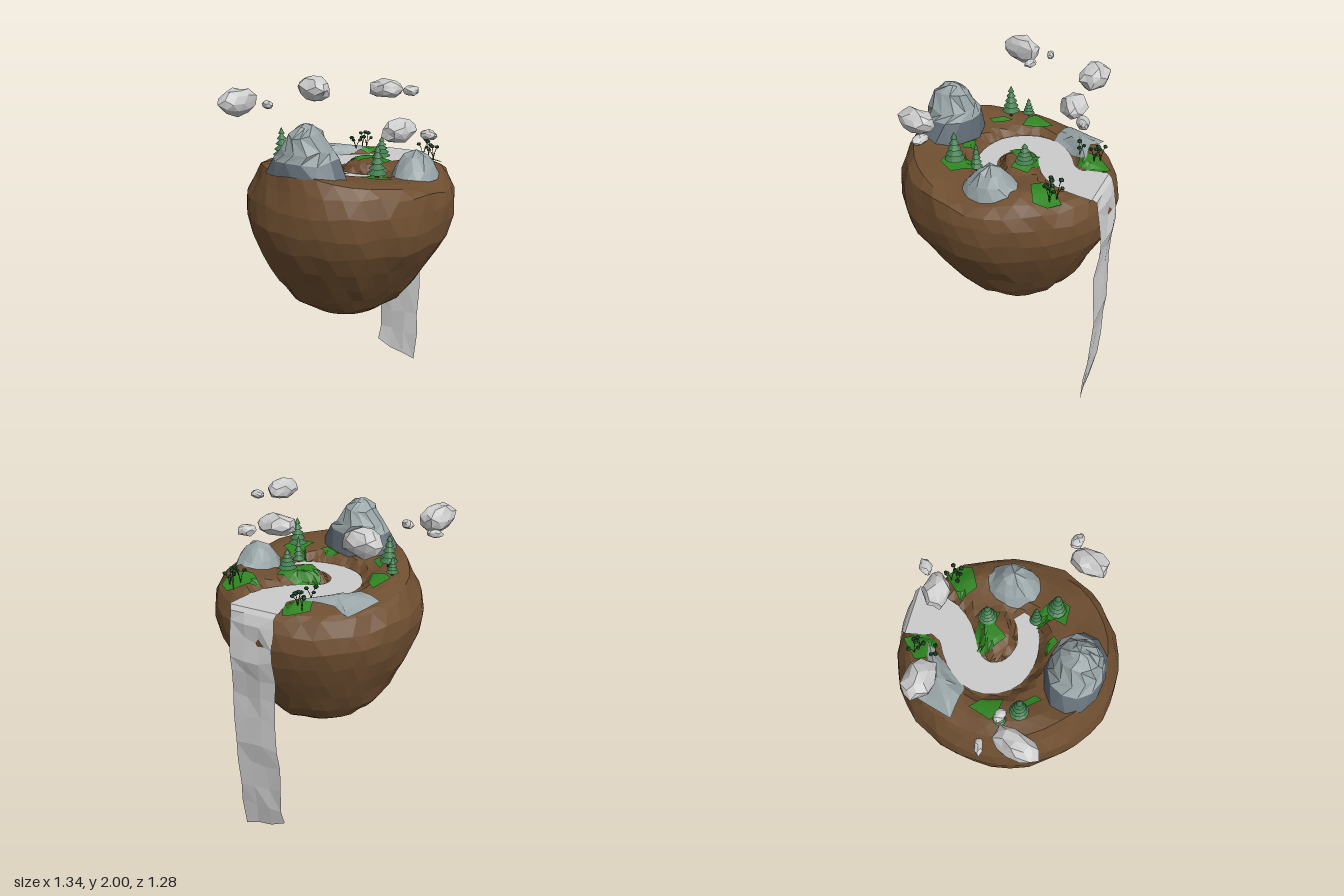
import * as THREE from 'three';

const mat = (color, side = THREE.FrontSide) =>
  new THREE.MeshStandardMaterial({ color, flatShading: true, side });
const SOIL = mat(0x6e4e30), GRASS = mat(0x2f8522, THREE.DoubleSide), WATER = mat(0xcccccc, THREE.DoubleSide);
const STONE = mat(0x97a3a5, THREE.DoubleSide), DARK = mat(0x626d76, THREE.DoubleSide), BOULDER = mat(0xcccccc);
const PINE = mat(0x3f7a4c), LEAF = mat(0x1f4f2a), BARK = mat(0x4e3520);

const CX = 0.06, CZ = 0.015;
const step = THREE.MathUtils.smoothstep;
// repeatable noise in -1..1
const noise = (a, b = 0, c = 0) => {
  const s = Math.sin(a * 12.99 + b * 78.23 + c * 37.72) * 43758.5;
  return (s - Math.floor(s)) * 2 - 1;
};

// river course: x, half width, z
const COURSE = new THREE.CatmullRomCurve3([[0.26, 0.025, 0.03], [0.21, 0.045, 0.085], [0.1, 0.05, 0.122],
  [0, 0.06, 0.112], [-0.095, 0.075, 0.06], [-0.145, 0.083, -0.04], [-0.125, 0.085, -0.14], [-0.04, 0.085, -0.225],
  [0.07, 0.09, -0.285], [0.14, 0.105, -0.38], [0.15, 0.125, -0.48], [0.15, 0.14, -0.56],
].map(p => new THREE.Vector3(...p)));
const BED = COURSE.getPoints(50);

// height of the island's upper ground, with the river bed cut in
function ground(x, z) {
  const r = Math.hypot(x - CX, z - CZ);
  const islet = 0.035 * (1 - step(Math.hypot(x - 0.12, z + 0.07), 0.05, 0.16));
  const left = 0.03 * step(-x, 0.2, 0.34) * step(z, -0.15, 0.1);
  const front = 0.04 * step(z, 0.08, 0.35) + 0.065 * step(z, 0.3, 0.5) * Math.exp(-((x + 0.02) ** 2) / 0.07);
  const back = 0.035 * Math.exp(-((x - 0.47) ** 2 + (z + 0.22) ** 2) / 0.02);
  const rim = 0.035 * step(r, 0.43, 0.56) * (1 - 0.8 * step(z, 0.2, 0.45));
  const land = 1.55 + islet + left + front + back - rim;
  const shore = Math.min(...BED.map(p => Math.hypot(x - p.x, z - p.z) - p.y));
  return THREE.MathUtils.lerp(Math.min(1.515, land), land, step(shore, 0.02, 0.065));
}

function add(parent, name, geometry, material) {
  const mesh = new THREE.Mesh(geometry, material);
  mesh.name = name;
  parent.add(mesh);
  return mesh;
}

// skin over rows of points, rows running upward or inward
function skin(rows, closed) {
  const n = rows[0].length, index = [];
  for (let i = 0; i < rows.length - 1; i++) {
    for (let j = 0; j < (closed ? n : n - 1); j++) {
      const k = (j + 1) % n;
      const a = i * n + j, b = i * n + k, c = a + n, d = b + n;
      if (i % 2) index.push(a, c, d, a, d, b);
      else index.push(a, c, b, b, c, d);
    }
  }
  const g = new THREE.BufferGeometry();
  g.setAttribute('position', new THREE.Float32BufferAttribute(rows.flat(2), 3));
  g.setIndex(index);
  g.computeVertexNormals();
  return g;
}

function islandGeometry() {
  const N = 36, rows = [];
  const side = [[0, 0.64], [0.12, 0.65], [0.24, 0.695], [0.358, 0.78], [0.425, 0.87], [0.483, 0.98],
    [0.548, 1.1], [0.6, 1.22], [0.622, 1.33], [0.61, 1.42], [0.572, 1.495]];
  const top = [0.53, 0.49, 0.45, 0.41, 0.37, 0.33, 0.29, 0.25, 0.21, 0.17, 0.13, 0.09, 0.05, 0];
  side.forEach(([r, y], i) => rows.push(Array.from({ length: N }, (_, j) => {
    const a = (j + (i % 2) * 0.5) / N * Math.PI * 2;
    const rr = r * (1 + (r > 0.3 ? 0.012 : 0.004) * noise(i, j));
    const shift = 0.015 + 0.035 * step(y, 0.7, 1.35) + 0.02 * step(y, 1.38, 1.5);
    const rise = 0.06 * step(y, 1.35, 1.49) * Math.max(0, Math.sin(a));
    return [shift + rr * 0.985 * Math.cos(a), y + rise + (r > 0.3 ? 0.012 * noise(j, i, 2) : 0),
      0.018 * step(y, 0.7, 1.3) + rr * 1.02 * Math.sin(a)];
  })));
  top.forEach((r, i) => rows.push(Array.from({ length: N }, (_, j) => {
    const a = (j + ((i + 1) % 2) * 0.5) / N * Math.PI * 2;
    const rr = r * (1 + 0.01 * noise(i + 20, j));
    const x = CX + rr * Math.cos(a), z = CZ + rr * 1.02 * Math.sin(a);
    return [x, ground(x, z), z];
  })));
  return skin(rows, true);
}

// outlined ground cover laid on the terrain, optionally raised in the middle
function patchGeometry(outline, lift = 0) {
  const cx = outline.reduce((s, p) => s + p[0], 0) / outline.length;
  const cz = outline.reduce((s, p) => s + p[1], 0) / outline.length;
  const pts = outline.flatMap((p, i) => {
    const q = outline[(i + 1) % outline.length];
    return [0, 1 / 3, 2 / 3].map(t => [p[0] + (q[0] - p[0]) * t, p[1] + (q[1] - p[1]) * t]);
  });
  return skin([1, 0.67, 0.33, 0].map(f => pts.map(([px, pz]) => {
    const x = cx + (px - cx) * f, z = cz + (pz - cz) * f;
    return [x, ground(x, z) + 0.01 + lift * (1 - f), z];
  })), true);
}

// faceted mountain; rings are [x fraction, z fraction, height fraction]
function mountain(parent, name, cx, cz, rx, rz, base, peak, rings, split) {
  const N = 12;
  const rows = rings.map(([fx, fz, h], i) => Array.from({ length: N }, (_, j) => {
    const a = (j + (i % 2) * 0.5) / N * Math.PI * 2, k = 1 + 0.06 * noise(i, j, cx);
    const x = cx + rx * fx * k * Math.cos(a), z = cz + rz * fz * k * Math.sin(a);
    const jig = fx ? 0.012 * noise(j, i, 5) : 0;
    return [x, h ? base + (peak - base) * h + jig : ground(x, z) - 0.015, z];
  }));
  const g = new THREE.Group();
  g.name = name;
  if (split) add(g, 'mountainFoot', skin(rows.slice(0, split + 1), true), DARK);
  add(g, 'mountainCap', skin(rows.slice(split), true), STONE);
  parent.add(g);
}

function riverGeometry() {
  const M = 26;
  return skin(Array.from({ length: M + 1 }, (_, i) => {
    const p = COURSE.getPoint(i / M), t = COURSE.getTangent(i / M).setY(0).normalize();
    const reach = p.y + 0.012;
    return [-1, -0.33, 0.33, 1].map(s => [p.x - t.z * s * reach, 1.528, p.z + t.x * s * reach]);
  }), false);
}

function waterfallGeometry() {
  // y, z down the fall
  const fall = [[1.528, -0.56], [1.505, -0.583], [1.45, -0.598], [1.35, -0.612], [1.24, -0.628], [1.13, -0.612],
    [1.0, -0.6], [0.85, -0.604], [0.68, -0.612], [0.52, -0.604], [0.35, -0.592], [0.19, -0.58], [0.03, -0.565]];
  const last = fall.length - 1;
  return skin(fall.map(([y, z], i) => [0, 0.33, 0.67, 1].map((u, j) => [
    0.008 + 0.275 * u + 0.01 * noise(i, j, 3),
    i === last ? [0.1, 0.05, 0.03, 0][j] : y + (i > 2 ? 0.025 * noise(i, j, 8) : 0),
    z + (i > 1 ? 0.01 * noise(i, j, 1) : 0)])), false);
}

function pine(parent, x, z, top, r) {
  const g = new THREE.Group(), y0 = ground(x, z), h = top - y0;
  g.name = 'pineTree';
  g.position.set(x, y0, z);
  add(g, 'pineTrunk', new THREE.CylinderGeometry(r * 0.14, r * 0.2, h * 0.8, 6), BARK).position.y = h * 0.37;
  for (let i = 0; i < 5; i++) {
    const tier = add(g, 'pineTier', new THREE.ConeGeometry(r * (1 - i * 0.165), h * 0.19, 11), PINE);
    tier.position.y = h * (0.27 + i * 0.16);
  }
  parent.add(g);
}

function leafyTree(parent, x, z, h, turn) {
  const g = new THREE.Group();
  g.name = 'leafyTree';
  g.position.set(x, ground(x, z), z);
  const tips = [[0.025, h, 0.01], [-0.02, h * 0.85, -0.018], [0.005, h * 0.72, 0.028]];
  tips.forEach(([tx, ty, tz], i) => {
    const curve = new THREE.QuadraticBezierCurve3(new THREE.Vector3(0, -0.01, 0),
      new THREE.Vector3(0, h * 0.5, 0), new THREE.Vector3(tx, ty, tz));
    add(g, 'branch', new THREE.TubeGeometry(curve, 4, 0.002, 4), BARK);
    const leaf = add(g, 'foliage', new THREE.IcosahedronGeometry(0.016 - i * 0.0015, 0), LEAF);
    leaf.position.set(tx, ty, tz);
    leaf.scale.y = 0.75;
  });
  g.rotation.y = turn;
  parent.add(g);
}

function boulder(parent, x, y, z, sx, sy, sz, turn) {
  const geo = new THREE.IcosahedronGeometry(1, 1), p = geo.attributes.position;
  for (let i = 0; i < p.count; i++) {
    const a = p.getX(i), b = p.getY(i), c = p.getZ(i);
    const k = 1 + 0.15 * Math.sin(a * 5 + x * 9 + b * 3) * Math.cos(c * 4 + z * 7 - b * 2);
    p.setXYZ(i, a * k, b * k, c * k);
  }
  geo.scale(sx, sy, sz);
  geo.computeVertexNormals();
  const m = add(parent, 'floatingBoulder', geo, BOULDER);
  m.position.set(x, y, z);
  m.rotation.y = turn;
}

export function createModel() {
  const model = new THREE.Group();
  model.name = 'floatingIsland';
  add(model, 'earth', islandGeometry(), SOIL);

  // water
  add(model, 'river', riverGeometry(), WATER);
  add(model, 'waterfall', waterfallGeometry(), WATER);

  // grass patches
  [[[-0.14, -0.46], [-0.03, -0.56], [0.03, -0.46], [-0.01, -0.37], [-0.11, -0.36]],
    [[0.26, -0.31], [0.4, -0.43], [0.47, -0.38], [0.48, -0.3], [0.35, -0.235]],
    [[-0.02, -0.15], [0.1, -0.18], [0.23, -0.17], [0.23, -0.07], [0.15, -0.08], [0.09, 0], [-0.01, -0.08]],
    [[-0.34, -0.1], [-0.29, -0.05], [-0.26, 0.07], [-0.35, 0.06], [-0.39, 0.03]],
    [[-0.28, 0.14], [-0.2, 0.23], [-0.22, 0.27], [-0.28, 0.2]],
    [[0.2, 0.14], [0.29, 0.13], [0.4, 0.21], [0.35, 0.3], [0.23, 0.3], [0.26, 0.23]],
    [[0.03, 0.235], [0.1, 0.215], [0.16, 0.25], [0.13, 0.28]],
  ].forEach(o => add(model, 'grassPatch', patchGeometry(o), GRASS));

  // mountains and rock slab
  mountain(model, 'frontMountain', -0.03, 0.41, 0.25, 0.165, 1.625, 1.887,
    [[1, 1, 0], [0.72, 0.93, 0.27], [0.56, 0.82, 0.47], [0.35, 0.62, 0.78], [0.15, 0.3, 0.95], [0, 0, 1]], 1);
  mountain(model, 'sideMountain', 0.43, -0.04, 0.14, 0.165, 1.545, 1.69,
    [[1, 1, 0], [0.8, 0.72, 0.35], [0.48, 0.38, 0.78], [0, 0, 1]], 0);
  add(model, 'rockSlab', patchGeometry(
    [[-0.34, -0.42], [-0.24, -0.37], [-0.03, -0.41], [-0.12, -0.29], [-0.23, -0.15], [-0.42, -0.18]], 0.025), STONE);

  // trees
  [[0.18, -0.13, 1.71, 0.053], [-0.32, 0.17, 1.78, 0.053], [-0.38, 0.08, 1.69, 0.036],
    [0.31, 0.23, 1.765, 0.055], [0.25, 0.13, 1.69, 0.036]].forEach(t => pine(model, ...t));
  [[-0.1, -0.475, 0.11, 0], [-0.06, -0.45, 0.09, 2], [-0.09, -0.355, 0.08, 4],
    [0.36, -0.35, 0.1, 1], [0.38, -0.395, 0.12, 3], [0.42, -0.37, 0.1, 5]].forEach(t => leafyTree(model, ...t));

  // floating boulders
  [[-0.37, 1.91, -0.325, 0.113, 0.08, 0.08, -0.1], [-0.585, 1.91, 0.21, 0.07, 0.08, 0.127, -0.35],
    [0.1, 1.945, -0.37, 0.103, 0.057, 0.07, 0.15], [0.48, 1.89, 0.355, 0.07, 0.06, 0.108, -0.25],
    [-0.625, 1.88, 0.04, 0.044, 0.022, 0.022, 0.25], [-0.45, 1.885, 0.1, 0.04, 0.024, 0.028, -0.5],
    [0.225, 1.925, -0.465, 0.05, 0.032, 0.033, 0.5], [0.605, 1.862, 0.262, 0.05, 0.026, 0.033, -0.2],
  ].forEach(b => boulder(model, ...b));
  return model;
}
